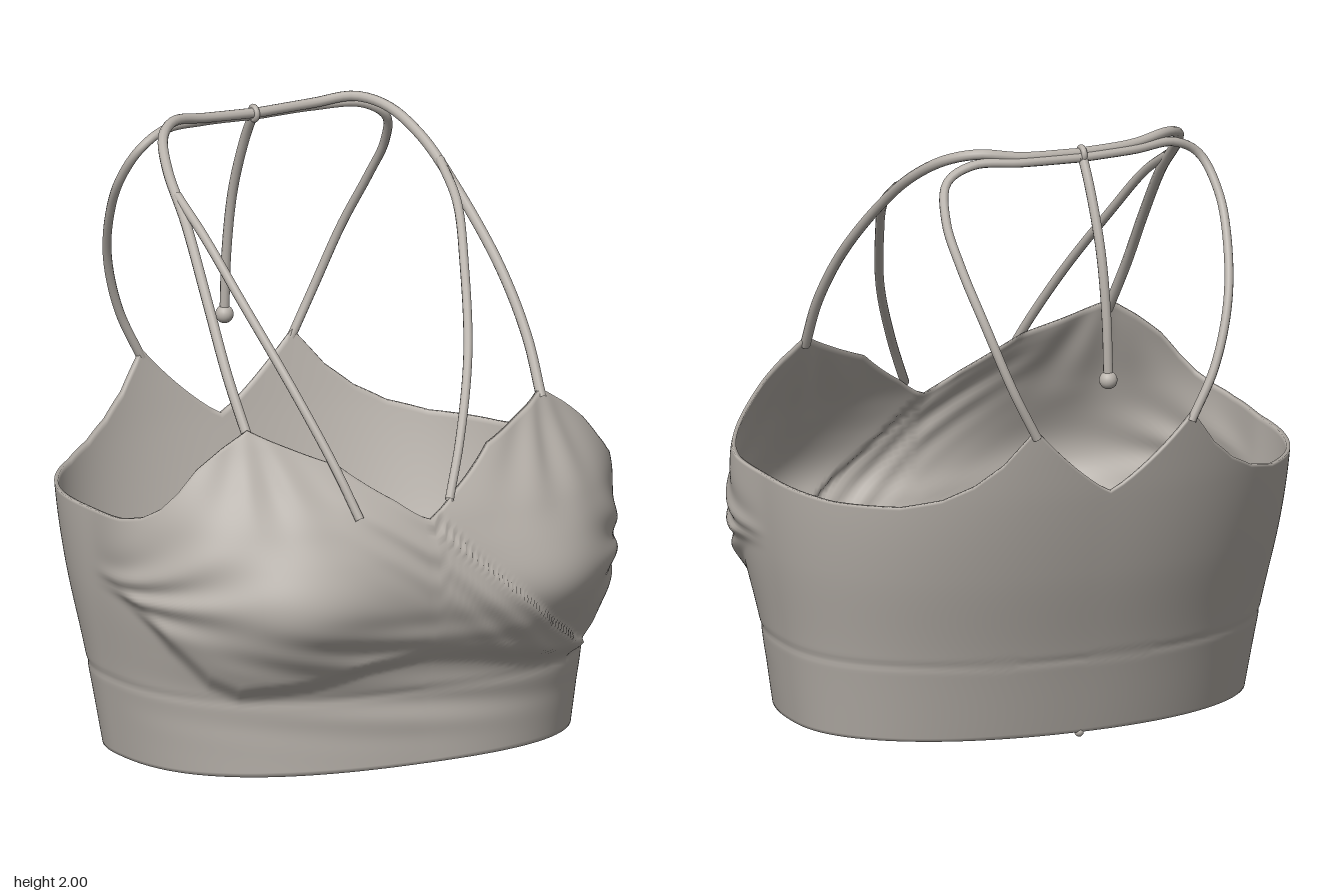
import * as THREE from 'three';

const fabric = new THREE.MeshStandardMaterial({ color: 0xb9b3ac });
fabric.name = 'warm grey fabric';
fabric.side = THREE.DoubleSide;

// Smooth and straight interpolation through [key, value] pairs
const smooth = (pairs) => {
  const c = new THREE.CubicInterpolant(pairs.map(p => p[0]), pairs.map(p => p[1]), 1);
  return (t) => c.evaluate(t)[0];
};
const linear = (pairs) => (t) => {
  let i = 1;
  while (i < pairs.length - 1 && t > pairs[i][0]) i++;
  const [a, b] = [pairs[i - 1], pairs[i]];
  return THREE.MathUtils.lerp(a[1], b[1], THREE.MathUtils.clamp((t - a[0]) / (b[0] - a[0]), 0, 1));
};
const step = (x, a, b) => THREE.MathUtils.smoothstep(x, a, b);
const bell = (d, w) => Math.exp(-((d / w) ** 2));

// Body size by height: half width, front depth, back depth
const halfWidth = smooth([[0, 0.778], [0.3, 0.822], [0.6, 0.87], [0.85, 0.888], [1, 0.885], [1.2, 0.85]]);
const frontDepth = smooth([[0, 0.65], [0.15, 0.645], [0.3, 0.645], [0.42, 0.675], [0.6, 0.72], [0.75, 0.705],
  [0.87, 0.665], [1, 0.605], [1.2, 0.51]]);
const backDepth = smooth([[0, 0.48], [0.3, 0.565], [0.6, 0.665], [0.86, 0.738], [1, 0.77], [1.2, 0.812]]);

// Squareness of the outline by height, front and back
const frontPower = smooth([[0, 2.38], [0.3, 2.5], [0.6, 2.68], [0.85, 2.6], [1.2, 2.5]]);
const backPower = smooth([[0, 2.15], [0.4, 2.25], [0.8, 2.38], [1.2, 2.4]]);

// Top edge height by angle from the front centre, in degrees
const topEdge = linear([[0, 0.87], [4, 0.94], [13.5, 1.06], [34.5, 1.18], [42, 1.125], [49.5, 1.06], [55.5, 0.985],
  [61.5, 0.93], [68, 0.895], [76.5, 0.873], [90, 0.86], [115, 0.85], [135, 0.86], [145.5, 0.89], [153, 0.94],
  [159, 1.01], [165, 1.13], [180, 0.89]]);

// Lower edge of the cups by distance from the middle, and the wrap's diagonal edge
const cupEdge = linear([[0, 0.4], [0.2, 0.38], [0.4, 0.33], [0.6, 0.3], [0.68, 0.34], [0.78, 0.46], [0.87, 0.61]]);
const wrapEdge = linear([[-0.55, 1.25], [0, 0.87], [0.2, 0.67], [0.4, 0.48], [0.55, 0.38], [0.7, 0.31]]);

// Outward relief: cups, wrap overlap and gathered folds
function relief(x, y, z) {
  const ax = Math.abs(x);
  const hem = -0.003 * bell(y - 0.285, 0.012);
  const front = step(z, 0.0, 0.3);
  if (front === 0) return hem;
  const inCup = step(y - cupEdge(ax), -0.02, 0.05);
  const low = 1 - step(y, 0.85, 1.12);
  let d = 0.027 * inCup * low;
  d += 0.066 * bell(ax - 0.43, 0.24) * bell(y - 0.6, 0.2);

  // Overlapping wrap panel with folds along its edge
  const w = (wrapEdge(x) - y) * 0.75;
  d += 0.022 * step(w, -0.008, 0.01) * (1 - step(w, 0.06, 0.3)) * inCup;
  d += 0.006 * Math.cos(w * 75) * bell(w - 0.1, 0.08) * inCup * step(x, -0.45, -0.05);

  // Folds fanning from the sides and from the strap points
  const fan = Math.atan2(y - 0.6, 0.95 - ax);
  d += 0.009 * Math.sin(fan * 11 + 0.6) * bell(ax - 0.76, 0.17) * bell(y - 0.62, 0.2) * inCup;
  const hang = Math.atan2(ax - 0.54, 1.3 - y);
  d += 0.006 * Math.sin(hang * 14) * bell(y - 0.98, 0.14) * bell(ax - 0.5, 0.25);

  // Soft creases across the cup bottoms and the band
  d += 0.006 * Math.sin(y * 55 - ax * ax * 14 + x * 3) * bell(y - 0.45, 0.09) * inCup * bell(x + 0.2, 0.4);
  d += 0.005 * Math.sin(y * 45 + x * 6) * bell(y - 0.25, 0.1) * (1 - inCup) * bell(x, 0.55);
  return hem + d * front;
}

// Point on the body at an angle and height, moved inwards by inset
function bodyPoint(deg, y, inset) {
  const a = THREE.MathUtils.degToRad(deg);
  const s = Math.sin(a), c = Math.cos(a);
  const n = c > 0 ? frontPower(y) : backPower(y);
  const W = halfWidth(y), D = c > 0 ? frontDepth(y) : backDepth(y);
  const x = W * Math.sign(s) * Math.abs(s) ** (2 / n);
  const z = D * Math.sign(c) * Math.abs(c) ** (2 / n);
  const dir = new THREE.Vector2(x / (W * W), z / (D * D)).normalize();
  const off = relief(x, y, z) - inset;
  return [x + dir.x * off, y, z + dir.y * off];
}

// Closed shell: outer rows upward, then inner rows downward
function bodyGeometry() {
  const rows = 80, innerRows = 50;
  const half = [];
  for (let a = 0; a < 90; a += 0.75) half.push(a); // finer columns at the front
  for (let a = 90; a < 180; a += 1.5) half.push(a);
  const angles = [...half, 180, ...half.slice(1).reverse().map(a => 360 - a)];
  const cols = angles.length;
  const profile = [];
  for (let j = 0; j <= rows; j++) profile.push([j / rows, 0]);
  for (let j = innerRows; j >= 0; j--) profile.push([j / innerRows, 0.013]);
  const pos = [], index = [];
  for (const [f, inset] of profile) {
    for (const deg of angles) {
      const bottom = 0.018 + 0.022 * Math.max(0, Math.cos(THREE.MathUtils.degToRad(deg))) ** 2;
      const top = topEdge(deg > 180 ? 360 - deg : deg);
      pos.push(...bodyPoint(deg, THREE.MathUtils.lerp(bottom, top, f), inset));
    }
  }
  for (let j = 0; j < profile.length; j++) {
    const k = (j + 1) % profile.length;
    for (let i = 0; i < cols; i++) {
      const n = (i + 1) % cols;
      const a = j * cols + i, b = j * cols + n, c = k * cols + n, d = k * cols + i;
      index.push(a, b, c, a, c, d);
    }
  }
  const g = new THREE.BufferGeometry();
  g.setAttribute('position', new THREE.Float32BufferAttribute(pos, 3));
  g.setIndex(index);
  g.computeVertexNormals();
  return g;
}

export function createModel() {
  const model = new THREE.Group();
  model.name = 'wrapTop';
  const add = (name, geometry, at = [0, 0, 0]) => {
    const m = new THREE.Mesh(geometry, fabric);
    m.name = name;
    m.position.set(...at);
    model.add(m);
    return m;
  };
  const cord = (name, points, r = 0.017) => {
    const curve = new THREE.CatmullRomCurve3(points.map(p => new THREE.Vector3(...p)));
    add(name, new THREE.TubeGeometry(curve, 60, r, 10));
  };

  add('body', bodyGeometry());

  // Shoulder straps meeting behind the neck, and straps down to the back
  for (const [side, s] of [['left', 1], ['right', -1]]) {
    const mirror = (pts) => pts.map(([x, y, z]) => [x * s, y, z]);
    cord(side + 'ShoulderStrap', mirror([[0.54, 1.15, 0.45], [0.55, 1.33, 0.33], [0.535, 1.53, 0.17],
      [0.495, 1.75, -0.06], [0.465, 1.88, -0.24], [0.41, 1.955, -0.37], [0.33, 1.98, -0.44],
      [0.2, 1.965, -0.475], [0, 1.957, -0.48]]));
    cord(side + 'BackStrap', mirror([[0.275, 1.1, -0.77], [0.36, 1.27, -0.765], [0.43, 1.47, -0.715],
      [0.475, 1.66, -0.61], [0.485, 1.79, -0.52], [0.45, 1.9, -0.45], [0.36, 1.95, -0.455],
      [0.2, 1.95, -0.49], [0, 1.945, -0.495]]), 0.015);
  }

  // Inner straps from the neckline
  cord('leftInnerStrap', [[0.08, 0.92, 0.675], [0.17, 1.09, 0.58], [0.285, 1.32, 0.42], [0.39, 1.56, 0.2],
    [0.455, 1.72, 0.03], [0.483, 1.82, -0.14]], 0.015);
  cord('rightInnerStrap', [[-0.26, 0.9, 0.695], [-0.305, 1.06, 0.61], [-0.375, 1.3, 0.44], [-0.44, 1.55, 0.21],
    [-0.475, 1.72, 0.03], [-0.483, 1.82, -0.14]], 0.015);

  // Hanging tie with its loop and end bead
  const loop = add('tieLoop', new THREE.TorusGeometry(0.021, 0.01, 10, 20), [-0.015, 1.955, -0.485]);
  loop.rotation.y = Math.PI / 2;
  cord('tieCord', [[-0.015, 1.95, -0.49], [-0.015, 1.85, -0.55], [-0.018, 1.66, -0.625],
    [-0.022, 1.45, -0.66], [-0.025, 1.25, -0.668]], 0.016);
  add('tieBead', new THREE.SphereGeometry(0.03, 20, 14), [-0.025, 1.24, -0.668]);

  // Small knot under the back hem
  add('hemKnot', new THREE.SphereGeometry(0.015, 14, 10), [-0.01, 0.015, -0.475]);
  return model;
}
